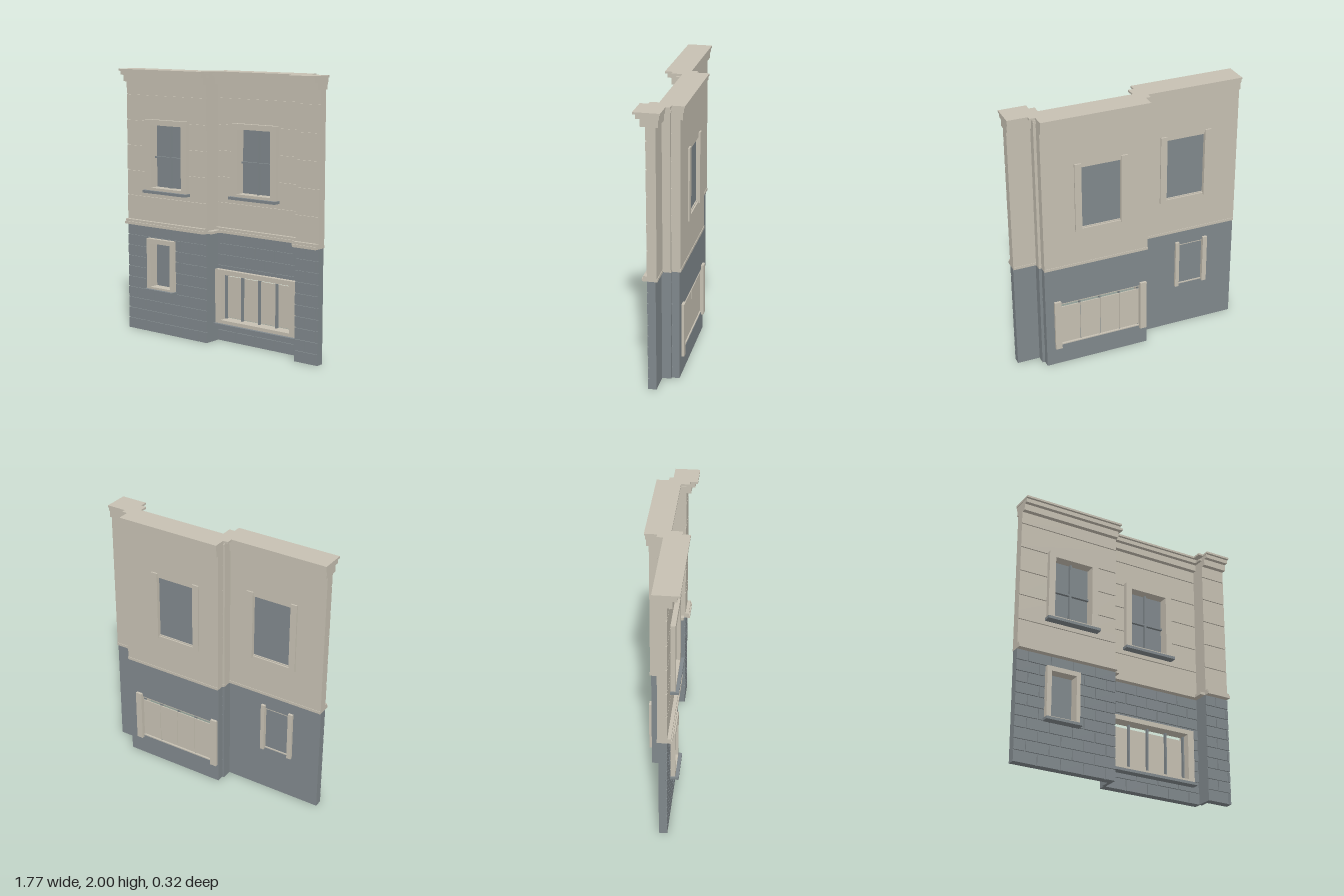
import * as THREE from 'three';
import { mergeGeometries } from 'three/addons/utils/BufferGeometryUtils.js';

const plaster = new THREE.MeshStandardMaterial({ name: 'warm plaster', color: 0xc6c0b2 });
const slate = new THREE.MeshStandardMaterial({ name: 'slate grey', color: 0x80888c });

const SPLIT = 0.82; // height where stone changes to plaster

// Wall bays: x range and front plane
const bays = [
  { name: 'wideBay', x0: -0.88, x1: -0.10, zf: 0.075 },
  { name: 'recessedBay', x0: -0.11, x1: 0.69, zf: -0.06 },
  { name: 'cornerPier', x0: 0.685, x1: 0.88, zf: 0.06 },
];

// Windows: outer frame and opening as [x0, x1, y0, y1]
const windows = [
  { name: 'upperWindowA', bay: 0, outer: [-0.665, -0.265, 1.10, 1.63], open: [-0.615, -0.315, 1.12, 1.59], kind: 'cross' },
  { name: 'upperWindowB', bay: 1, outer: [0.05, 0.45, 1.10, 1.63], open: [0.10, 0.40, 1.12, 1.59], kind: 'cross' },
  { name: 'smallWindow', bay: 0, outer: [-0.66, -0.40, 0.345, 0.73], open: [-0.625, -0.43, 0.36, 0.695], kind: 'plain' },
  { name: 'shopWindow', bay: 1, outer: [-0.10, 0.625, 0.14, 0.545], open: [-0.05, 0.575, 0.165, 0.51], kind: 'barred' },
];

function box(x0, x1, y0, y1, z0, z1) {
  const g = new THREE.BoxGeometry(x1 - x0, y1 - y0, z1 - z0);
  return g.translate((x0 + x1) / 2, (y0 + y1) / 2, (z0 + z1) / 2);
}

function add(group, name, material, ...geometries) {
  const mesh = new THREE.Mesh(geometries.length > 1 ? mergeGeometries(geometries) : geometries[0], material);
  mesh.name = name;
  group.add(mesh);
}

// Rectangle minus rectangular holes, as a list of smaller rectangles
function cut(rect, holes) {
  let list = [rect];
  for (const [hx0, hx1, hy0, hy1] of holes) {
    list = list.flatMap(([x0, x1, y0, y1]) => {
      if (hx0 >= x1 || hx1 <= x0 || hy0 >= y1 || hy1 <= y0) return [[x0, x1, y0, y1]];
      const a = Math.max(y0, hy0), b = Math.min(y1, hy1);
      return [[x0, x1, y0, a], [x0, x1, b, y1], [x0, hx0, a, b], [hx1, x1, a, b]]
        .filter(r => r[1] - r[0] > 1e-4 && r[3] - r[2] > 1e-4);
    });
  }
  return list;
}

// Flat wall with window holes
function wall(x0, x1, y0, y1, z0, z1, holes) {
  const path = (p, a, b, c, d) => p.moveTo(a, c).lineTo(b, c).lineTo(b, d).lineTo(a, d).closePath();
  const shape = path(new THREE.Shape(), x0, x1, y0, y1);
  for (const h of holes) shape.holes.push(path(new THREE.Path(), ...h));
  return new THREE.ExtrudeGeometry(shape, { depth: z1 - z0, bevelEnabled: false }).translate(0, 0, z0);
}

function buildBay(bay, index) {
  const { x0, x1, zf } = bay;
  const g = new THREE.Group();
  g.name = bay.name;
  const mine = windows.filter(w => w.bay === index);
  const grow = ([a, b, c, d]) => [a - 0.008, b + 0.008, c - 0.008, d + 0.008];
  const holes = upper => mine.filter(w => (w.open[2] > SPLIT) === upper).map(w => grow(w.open));
  const core = zf - 0.01;

  add(g, 'stoneCore', slate, wall(x0, x1, 0, SPLIT, zf - 0.06, core, holes(false)));
  add(g, 'plasterCore', plaster, wall(x0, x1, SPLIT, 1.98, zf - 0.068, core, holes(true)));

  // Staggered stone blocks
  const stones = [], courses = 10, h = SPLIT / courses, pitch = 0.176, gap = 0.004;
  for (let r = 0; r < courses; r++) {
    for (let x = x0 - (r % 2) * pitch / 2; x < x1; x += pitch) {
      const a = Math.max(x0, x + (x > x0 ? gap : 0));
      const b = x + pitch >= x1 ? x1 : x + pitch - gap;
      if (b - a < 0.01) continue;
      for (const p of cut([a, b, r * h + (r ? gap : 0), (r + 1) * h - gap], holes(false)))
        stones.push(box(...p, core - 0.002, zf));
    }
  }
  add(g, 'stoneBlocks', slate, ...stones);

  // Plaster courses separated by thin grooves
  const lines = [SPLIT, 1.045, 1.235, 1.427, 1.617, 1.81, 1.95], slabs = [];
  for (let i = 0; i < lines.length - 1; i++)
    for (const p of cut([x0, x1, lines[i] + 0.004, lines[i + 1] - 0.004], holes(true)))
      slabs.push(box(...p, core - 0.002, zf));
  add(g, 'plasterCourses', plaster, ...slabs);

  // String course and stepped cornice
  add(g, 'stringCourse', plaster,
    box(x0, x1, SPLIT, 0.84, zf - 0.072, zf + 0.035),
    box(x0, x1, 0.84, 0.858, core, zf + 0.026));
  add(g, 'cornice', plaster,
    box(x0, x1, 1.905, 1.955, zf - 0.086, zf + 0.035),
    box(x0, x1, 1.955, 1.985, zf - 0.093, zf + 0.065),
    box(x0 - 0.003, x1 + 0.003, 1.985, 2, zf - 0.1, zf + 0.083));
  return g;
}

// Short wall joining the recessed bay to its neighbour; side points into the recess
function buildReturn(name, x, side, zFront) {
  const g = new THREE.Group();
  g.name = name;
  const span = (outward, y0, y1, z0, z1) => {
    const a = x - side * 0.025, b = x + side * outward;
    return box(Math.min(a, b), Math.max(a, b), y0, y1, z0, z1);
  };
  add(g, 'stoneReturn', slate, span(0, 0, SPLIT, -0.065, zFront - 0.03));
  add(g, 'plasterReturn', plaster, span(0, SPLIT, 1.98, -0.065, zFront - 0.03));
  add(g, 'returnString', plaster, span(0.04, SPLIT, 0.84, -0.068, zFront - 0.01));
  const xs = [x - side * 0.05, x + side * 0.045].sort((a, b) => a - b);
  add(g, 'returnCornice', plaster,
    span(0.02, 1.955, 1.97, -0.07, zFront),
    box(xs[0], xs[1], 1.985, 2, -0.07, zFront + 0.027));
  return g;
}

function buildWindow(w) {
  const zf = bays[w.bay].zf, [ox0, ox1, oy0, oy1] = w.outer, [x0, x1, y0, y1] = w.open;
  const g = new THREE.Group();
  g.name = w.name;
  const front = zf + 0.035, back = zf - 0.058;

  // Jambs run through the wall and stand proud behind it
  add(g, 'frame', plaster,
    box(ox0, x0, oy0, oy1, zf - 0.08, front),
    box(x1, ox1, oy0, oy1, zf - 0.08, front),
    box(x0, x1, y1, oy1, zf - 0.03, front),
    box(x0, x1, oy0, y0, zf - 0.03, front),
    box(x0, x1, y1, y1 + 0.01, back, zf),
    box(x0, x1, y0 - 0.01, y0, back, zf));
  add(g, 'sill', slate, box(ox0 - 0.01, ox1 + 0.01, oy0 - 0.02, oy0, zf - 0.02, zf + 0.06));

  if (w.kind === 'barred') {
    // Shutter panels with gaps above and below, behind upright bars
    const n = 4, step = (x1 - x0) / n;
    const panels = [], bars = [];
    for (let i = 0; i <= n; i++) {
      const x = x0 + i * step;
      if (i < n) panels.push(box(x + 0.002, x + step - 0.002, 0.172, 0.484, zf - 0.052, zf - 0.044));
      const c = Math.min(Math.max(x, x0 + 0.005), x1 - 0.005);
      bars.push(box(c - 0.005, c + 0.005, y0, y1, zf - 0.046, zf - 0.02));
    }
    add(g, 'shutterPanels', plaster, ...panels);
    add(g, 'bars', slate, ...bars);
    return g;
  }
  add(g, 'glass', slate, box(x0, x1, y0, y1, zf - 0.05, zf - 0.042));
  if (w.kind === 'cross') {
    const cx = (x0 + x1) / 2, cy = 1.345;
    add(g, 'glazingBars', slate,
      box(cx - 0.007, cx + 0.007, y0, y1, zf - 0.043, zf - 0.018),
      box(x0, x1, cy - 0.007, cy + 0.007, zf - 0.043, zf - 0.02));
  }
  return g;
}

export function createModel() {
  const model = new THREE.Group();
  model.name = 'townhouseFacade';
  bays.forEach((b, i) => model.add(buildBay(b, i)));
  model.add(buildReturn('returnWallA', -0.10, 1, 0.075));
  model.add(buildReturn('returnWallB', 0.685, -1, 0.06));
  windows.forEach(w => model.add(buildWindow(w)));
  return model;
}
